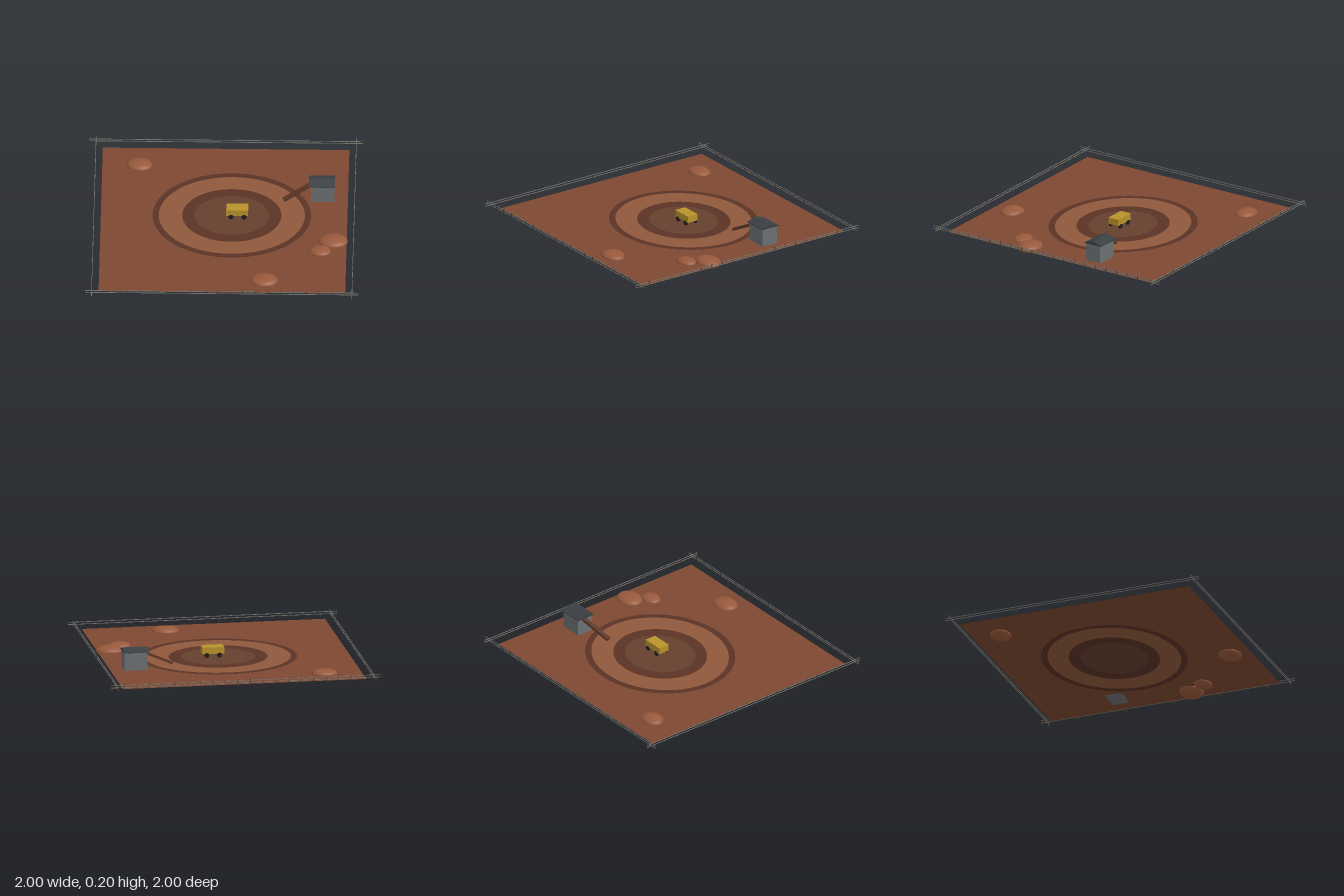
import * as THREE from 'three';

const GROUND = 0.04;
const mat = (color, side = THREE.FrontSide) => new THREE.MeshStandardMaterial({ color, side });

function add(parent, name, geometry, material, x = 0, y = 0, z = 0) {
  const mesh = new THREE.Mesh(geometry, material);
  mesh.name = name;
  mesh.position.set(x, y, z);
  parent.add(mesh);
  return mesh;
}

// Flat ground with concentric oval pit bands fitted into each other
function buildGround() {
  const ground = new THREE.Group();
  ground.name = 'ground';
  const cx = 0.056, cy = 0.066;
  const bands = [
    ['pitOuterRing', 0.58, 0.53, 0x5a3325],
    ['pitBench', 0.535, 0.482, 0x8f593c],
    ['pitInnerRing', 0.363, 0.33, 0x5a3325],
    ['pitFloor', 0.273, 0.243, 0x643f2e],
  ];
  const oval = (P, rx, ry) => new P().absellipse(cx, cy, rx, ry, 0, Math.PI * 2);
  const lay = (name, shape, color) => {
    const geo = new THREE.ShapeGeometry(shape, 48).rotateX(-Math.PI / 2);
    add(ground, name, geo, mat(color, THREE.DoubleSide), 0, GROUND, 0);
  };
  const s = 0.903;
  const square = new THREE.Shape([[-s, -s], [s, -s], [s, s], [-s, s]].map(p => new THREE.Vector2(...p)));
  square.holes.push(oval(THREE.Path, bands[0][1], bands[0][2]));
  lay('soil', square, 0x7d4832);
  bands.forEach(([name, rx, ry, color], i) => {
    const shape = oval(THREE.Shape, rx, ry);
    const next = bands[i + 1];
    if (next) shape.holes.push(oval(THREE.Path, next[1], next[2]));
    lay(name, shape, color);
  });
  return ground;
}

// Two thin rails and a row of posts on each of the four sides
function buildFence() {
  const fence = new THREE.Group();
  fence.name = 'fence';
  const railMat = mat(0x777770), postMat = mat(0x3a3835);
  const t = 0.004, edge = 0.953;
  const post = new THREE.BoxGeometry(t, 0.048, t);
  for (const side of [-1, 1]) {
    for (const y of [0.064, 0.081]) {
      add(fence, 'rail', new THREE.BoxGeometry(2, t, t), railMat, 0, y, side * edge);
      add(fence, 'rail', new THREE.BoxGeometry(t, t, 2), railMat, side * edge, y, 0);
    }
    for (let i = 0; i < 22; i++) {
      const d = -0.97 + i * 0.0935;
      add(fence, 'post', post, postMat, d, 0.064, side * edge);
      add(fence, 'post', post, postMat, side * edge, 0.064, -d);
    }
  }
  return fence;
}

// Ore cart on four wheels
function buildCart() {
  const cart = new THREE.Group();
  cart.name = 'cart';
  cart.position.set(0.096, 0, -0.062);
  add(cart, 'cartBody', new THREE.BoxGeometry(0.16, 0.05, 0.088), mat(0xb8932a), 0, 0.095, 0);
  const wheel = new THREE.CylinderGeometry(0.018, 0.018, 0.014, 16).rotateX(Math.PI / 2);
  const black = mat(0x1e1c1b);
  for (const x of [-0.045, 0.05])
    for (const z of [-0.042, 0.042]) add(cart, 'wheel', wheel, black, x, 0.061, z);
  return cart;
}

// Shed with a gabled roof and a sloping conveyor
function buildShed() {
  const shed = new THREE.Group();
  shed.name = 'shed';
  add(shed, 'walls', new THREE.BoxGeometry(0.17, 0.14, 0.128), mat(0x6b7073), 0.718, 0.108, -0.309);

  const gable = new THREE.Shape([[-0.074, 0.174], [0.074, 0.174], [0.074, 0.179], [0, 0.203], [-0.074, 0.179]]
    .map(p => new THREE.Vector2(...p)));
  const roof = new THREE.ExtrudeGeometry(gable, { depth: 0.19, bevelEnabled: false })
    .translate(0, 0, -0.095).rotateY(Math.PI / 2);
  add(shed, 'roof', roof, mat(0x3a3f43), 0.713, 0, -0.312);

  const low = new THREE.Vector3(0.432, 0.055, -0.248);
  const high = new THREE.Vector3(0.65, 0.162, -0.317);
  const along = high.clone().sub(low);
  const length = along.length();
  const xAxis = along.normalize();
  const zAxis = new THREE.Vector3().crossVectors(xAxis, new THREE.Vector3(0, 1, 0)).normalize();
  const yAxis = new THREE.Vector3().crossVectors(zAxis, xAxis);
  const belt = add(shed, 'conveyor', new THREE.BoxGeometry(length, 0.018, 0.036), mat(0x5c3625));
  belt.quaternion.setFromRotationMatrix(new THREE.Matrix4().makeBasis(xAxis, yAxis, zAxis));
  belt.position.copy(low).lerp(high, 0.5);
  return shed;
}

// Flattened boulders half sunk in the soil
function buildBoulders() {
  const boulders = new THREE.Group();
  boulders.name = 'boulders';
  const geo = new THREE.SphereGeometry(1, 24, 16);
  const rock = mat(0x98593c);
  for (const [x, z, r] of [[-0.63, -0.69, 0.093], [0.307, 0.746, 0.1], [0.805, 0.246, 0.106], [0.711, 0.372, 0.08]])
    add(boulders, 'boulder', geo, rock, x, 0.04, z).scale.set(r, r * 0.36, r * 0.82);
  return boulders;
}

export function createModel() {
  const model = new THREE.Group();
  model.name = 'openPitMine';
  model.add(buildGround(), buildFence(), buildCart(), buildShed(), buildBoulders());
  return model;
}
